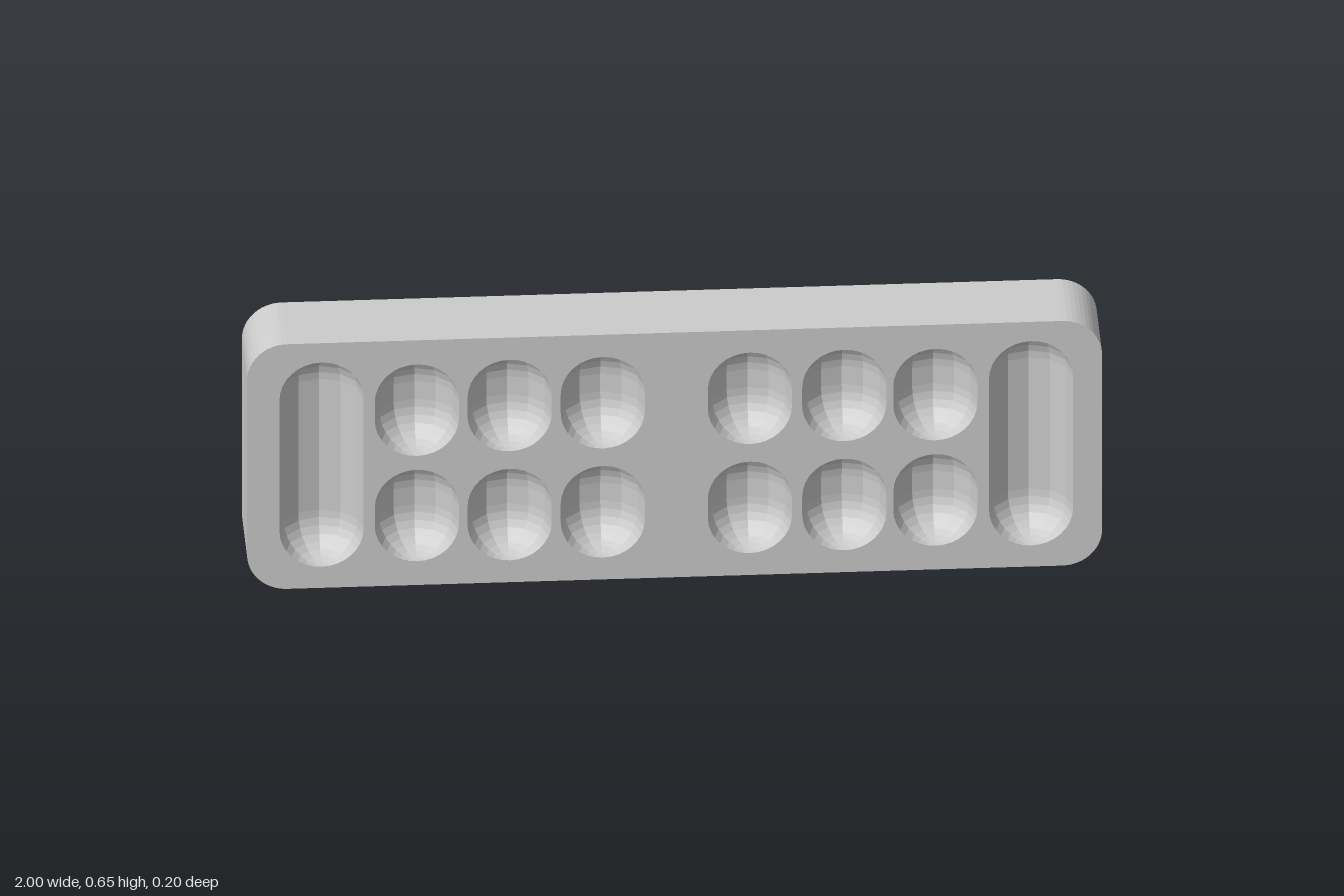
import * as THREE from 'three';

const W = 2, H = 0.655, D = 0.2, CORNER = 0.093;
const R = 0.0985, CAP_STEPS = 8;

// Rounded rectangle outline of the board, standing on y = 0
function boardShape() {
  const s = new THREE.Shape(), q = Math.PI / 2;
  const x = W / 2 - CORNER, y0 = CORNER, y1 = H - CORNER;
  s.absarc(x, y0, CORNER, -q, 0);
  s.absarc(x, y1, CORNER, 0, q);
  s.absarc(-x, y1, CORNER, q, 2 * q);
  s.absarc(-x, y0, CORNER, 2 * q, 3 * q);
  s.closePath();
  return s;
}

// Half outline of a pit, from its top down to its bottom
function pitProfile(height) {
  const pts = [], straight = height / 2 - R;
  for (const side of [1, -1]) {
    for (let i = 0; i <= CAP_STEPS; i++) {
      const a = (side > 0 ? i : CAP_STEPS - i) / CAP_STEPS * Math.PI / 2;
      pts.push(new THREE.Vector2(R * Math.sin(a), side * (straight + R * Math.cos(a))));
    }
  }
  return pts;
}

// Faceted normals
function faceted(geometry) {
  const g = geometry.index ? geometry.toNonIndexed() : geometry;
  g.computeVertexNormals();
  return g;
}

export function createModel() {
  const group = new THREE.Group();
  const grey = new THREE.MeshStandardMaterial({ color: 0xcccccc });
  grey.name = 'plain grey';
  const add = (name, geometry) => {
    const mesh = new THREE.Mesh(geometry, grey);
    mesh.name = name;
    group.add(mesh);
    return mesh;
  };

  // Pits: centre x, centre y, height
  const pits = [
    ['rightStore', -0.826, 0.33, 0.547],
    ['leftStore', 0.834, 0.33, 0.547],
  ];
  [-0.603, -0.386, -0.168, 0.176, 0.397, 0.61].forEach((x, i) => {
    const nudge = i === 0 || i === 5 ? 0.005 : 0; // outer pits sit closer together
    pits.push([`upperPit${i + 1}`, x, 0.473 - nudge, 0.245]);
    pits.push([`lowerPit${i + 1}`, x, 0.181 + nudge, 0.245]);
  });

  // Scooped half-capsule bowls, with a matching hole in the front face
  const front = boardShape();
  for (const [name, x, y, height] of pits) {
    const profile = pitProfile(height);
    const bowl = new THREE.LatheGeometry(profile, 6, Math.PI / 2, Math.PI);
    add(name, faceted(bowl)).position.set(x, y, D / 2);
    const left = profile.slice(1, -1).reverse().map(p => new THREE.Vector2(-p.x, p.y));
    const rim = [...profile, ...left].map(p => new THREE.Vector2(p.x + x, p.y + y));
    front.holes.push(new THREE.Path(rim));
  }
  add('frontFace', new THREE.ShapeGeometry(front, 6)).position.z = D / 2;

  // Back face
  const back = add('backFace', new THREE.ShapeGeometry(boardShape(), 6));
  back.rotation.y = Math.PI;
  back.position.z = -D / 2;

  // Rim walls: only the side faces of an extrusion
  const solid = new THREE.ExtrudeGeometry(boardShape(), { depth: D, bevelEnabled: false, curveSegments: 6 });
  const { start, count } = solid.groups[1];
  const walls = new THREE.BufferGeometry();
  const sides = solid.attributes.position.array.slice(start * 3, (start + count) * 3);
  walls.setAttribute('position', new THREE.BufferAttribute(sides, 3));
  add('sideWalls', faceted(walls)).position.z = -D / 2;

  return group;
}
